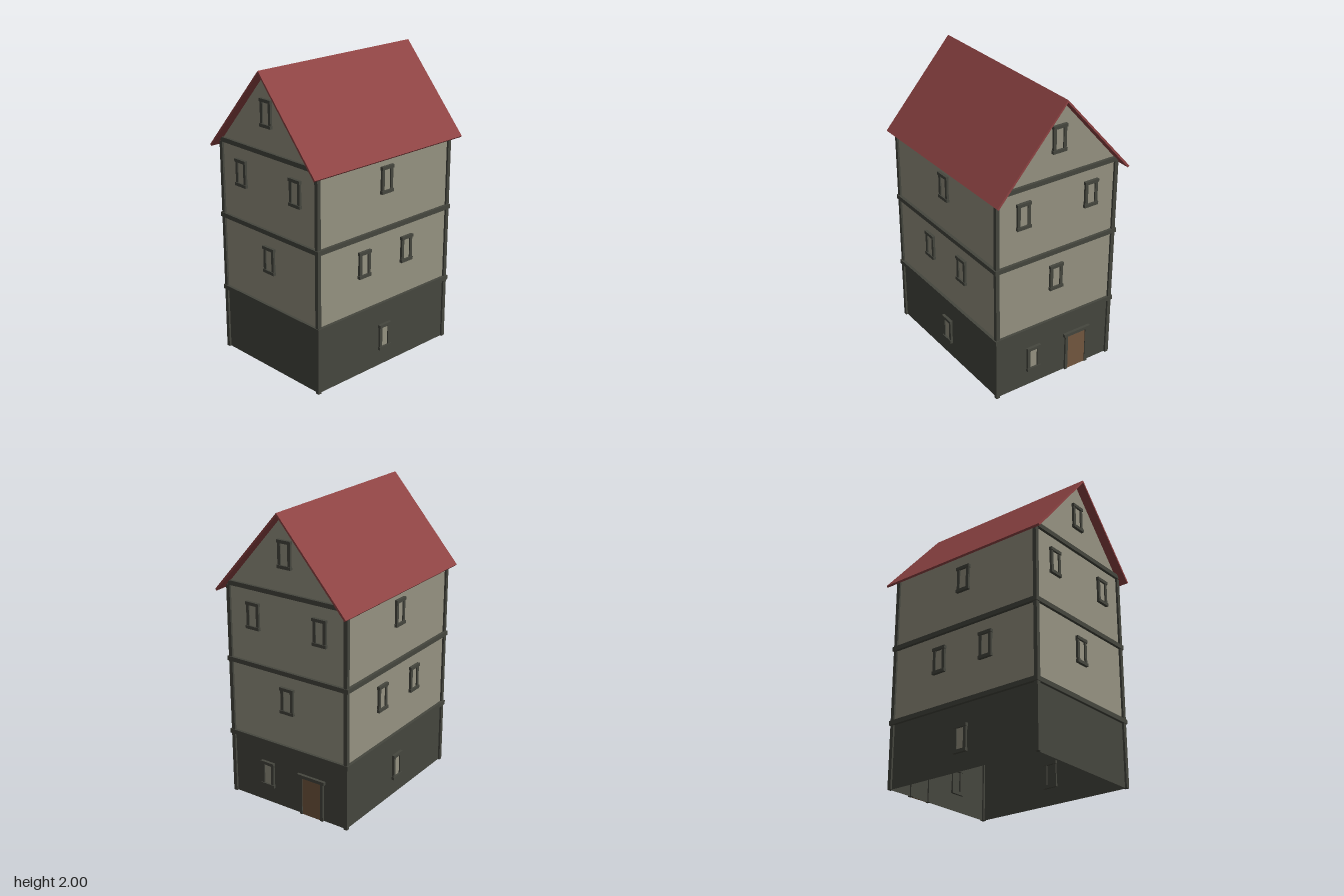
import * as THREE from 'three';

const CX = -0.008;            // house body sits slightly off the roof centre
const HX = 0.577, HZ = 0.447; // half sizes of the wall shell
const BASE = 0.44, EAVE = 1.475, APEX = 1.985;

function material(name, color, side = THREE.FrontSide) {
  const m = new THREE.MeshStandardMaterial({ color, side });
  m.name = name;
  return m;
}

export function createModel() {
  const plaster = material('plaster', 0x959281, THREE.DoubleSide);
  const timber = material('darkTimber', 0x45463e, THREE.DoubleSide);
  const roofRed = material('roofRed', 0x8e4343);
  const doorWood = material('doorWood', 0x73573f);

  const house = new THREE.Group();
  house.name = 'house';

  function add(parent, name, geometry, mat, x = 0, y = 0, z = 0) {
    const mesh = new THREE.Mesh(geometry, mat);
    mesh.name = name;
    mesh.position.set(x, y, z);
    parent.add(mesh);
    return mesh;
  }
  const box = (parent, name, w, h, d, mat, x, y, z) =>
    add(parent, name, new THREE.BoxGeometry(w, h, d), mat, x, y, z);

  // Window: pane, two jambs, wider lintel and sill
  function addWindow(parent, u, y) {
    const g = new THREE.Group();
    g.name = 'window';
    g.position.set(u, y, 0);
    parent.add(g);
    box(g, 'pane', 0.06, 0.15, 0.006, plaster, 0, 0, 0.004);
    for (const s of [-1, 1]) {
      box(g, 'jamb', 0.021, 0.15, 0.026, timber, s * 0.0375, 0, 0.002);
      box(g, s > 0 ? 'lintel' : 'sill', 0.104, 0.021, 0.036, timber, 0, s * 0.079, 0.002);
    }
  }

  // Door: leaf, jambs and overhanging lintel
  function addDoor(parent, u) {
    const g = new THREE.Group();
    g.name = 'door';
    g.position.x = u;
    parent.add(g);
    box(g, 'doorLeaf', 0.143, 0.265, 0.008, doorWood, 0, 0.1325, 0.004);
    for (const s of [-1, 1]) box(g, 'doorJamb', 0.02, 0.265, 0.024, timber, s * 0.0815, 0.1325, 0.002);
    box(g, 'doorLintel', 0.21, 0.022, 0.036, timber, 0, 0.276, 0.002);
  }

  // One facade, built facing +z and then turned into place
  function addFacade(name, angle, half, distance, gabled, windows, door) {
    const g = new THREE.Group();
    g.name = name;
    g.rotation.y = angle;
    g.position.set(CX + Math.sin(angle) * distance, 0, Math.cos(angle) * distance);
    house.add(g);
    add(g, 'groundFloorWall', new THREE.PlaneGeometry(half * 2, BASE), timber, 0, BASE / 2);
    const outline = [[-half, BASE], [half, BASE], [half, EAVE]];
    if (gabled) outline.push([0, APEX]);
    outline.push([-half, EAVE]);
    const shape = new THREE.Shape(outline.map(([x, y]) => new THREE.Vector2(x, y)));
    add(g, 'upperWall', new THREE.ShapeGeometry(shape), plaster);
    for (const [u, y] of windows) addWindow(g, u, y);
    if (door !== undefined) addDoor(g, door);
  }

  const longSide = [[0, 0.205], [-0.19, 0.77], [0.19, 0.77], [0, 1.288]];
  const gableSide = [[0, 0.77], [-0.255, 1.288], [0.255, 1.288], [0, 1.73]];
  addFacade('frontFacade', 0, HX, HZ, false, longSide);
  addFacade('backFacade', Math.PI, HX, HZ, false, longSide);
  addFacade('rightFacade', Math.PI / 2, HZ, HX, true, [...gableSide, [-0.167, 0.205]], 0.182);
  addFacade('leftFacade', -Math.PI / 2, HZ, HX, true, gableSide);

  // Corner posts
  for (const sx of [-1, 1])
    for (const sz of [-1, 1])
      box(house, 'cornerPost', 0.026, 1.458, 0.026, timber, CX + sx * 0.578, 0.729, sz * 0.447);

  // Rings of beams between the storeys
  const thick = 0.038;
  for (const [y, outerZ] of [[0.44, 0.468], [0.958, 0.468], [1.475, 0.445]]) {
    const ring = new THREE.Group();
    ring.name = 'beamRing';
    ring.position.set(CX, y, 0);
    house.add(ring);
    for (const s of [-1, 1]) {
      box(ring, 'longBeam', 1.192, 0.03, thick, timber, 0, 0, s * (outerZ - thick / 2));
      box(ring, 'crossBeam', thick, 0.03, 2 * (outerZ - thick), timber, s * (0.596 - thick / 2), 0, 0);
    }
  }

  // Thin gabled roof, extruded along the ridge
  const profile = [[0, 2], [-0.494, 1.438], [-0.484, 1.428], [0, 1.983], [0.484, 1.428], [0.494, 1.438]];
  const roofShape = new THREE.Shape(profile.map(([x, y]) => new THREE.Vector2(x, y)));
  const roof = new THREE.ExtrudeGeometry(roofShape, { depth: 1.296, bevelEnabled: false });
  roof.translate(0, 0, -0.648).rotateY(Math.PI / 2);
  add(house, 'roof', roof, roofRed);

  return house;
}
